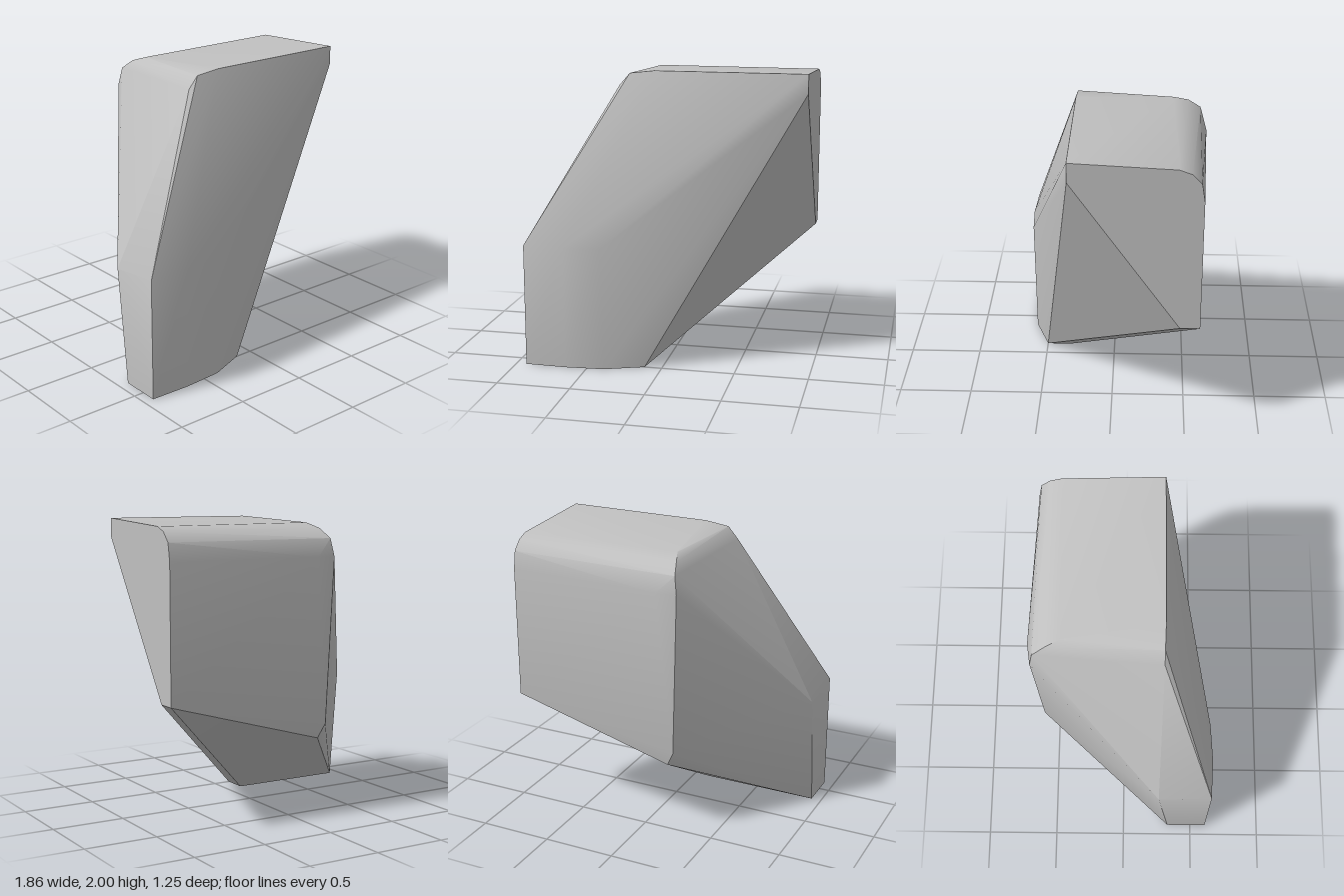
import * as THREE from 'three';
import { ConvexGeometry } from 'three/addons/geometries/ConvexGeometry.js';
import { toCreasedNormals } from 'three/addons/utils/BufferGeometryUtils.js';

const V = (x, y, z) => new THREE.Vector3(x, y, z);

export function createModel() {
  const group = new THREE.Group();
  group.name = 'cutRock';

  const stone = new THREE.MeshStandardMaterial({ color: 0xc0c0c0 });
  stone.name = 'stoneGrey';

  // +x end: flat cut face with a rounded upper back corner
  const endFace = [
    V(0.93, 2.0, 0.26), V(0.93, 1.87, 0.26), V(0.93, 0.84, -0.45), V(0.93, 0.84, -0.58),
    V(0.93, 1.75, -0.58), V(0.93, 1.87, -0.56), V(0.93, 1.935, -0.5), V(0.93, 1.965, -0.42),
  ];

  // top edge and upper back corner at the -x side
  const shoulder = [
    V(-0.27, 1.98, 0.255), V(-0.1, 2.0, 0.26), V(-0.34, 1.9, 0.255),
    V(-0.2, 1.97, -0.4), V(-0.24, 1.935, -0.5), V(-0.27, 1.87, -0.585),
    V(-0.29, 1.75, -0.605), V(-0.15, 1.75, -0.625),
  ];

  // lower back corner
  const backCorner = [V(-0.25, 0.62, -0.575), V(-0.2, 0.52, -0.555)];

  // front nose, gently rounded across its width
  const nose = [
    V(-0.93, 0.84, 0.61), V(-0.65, 0.84, 0.622), V(-0.4, 0.84, 0.608), V(-0.93, 0.8, 0.245),
  ];

  // flat base
  const base = [
    V(-0.93, 0, 0.61), V(-0.65, 0, 0.618), V(-0.38, 0, 0.6),
    V(-0.12, 0, 0.5), V(-0.12, 0, 0.33), V(-0.93, 0, 0.33),
  ];

  // one faceted solid with softened shallow edges
  const hull = new ConvexGeometry([...endFace, ...shoulder, ...backCorner, ...nose, ...base]);
  const rock = new THREE.Mesh(toCreasedNormals(hull, 0.5), stone);
  rock.name = 'rockBody';
  group.add(rock);

  return group;
}
